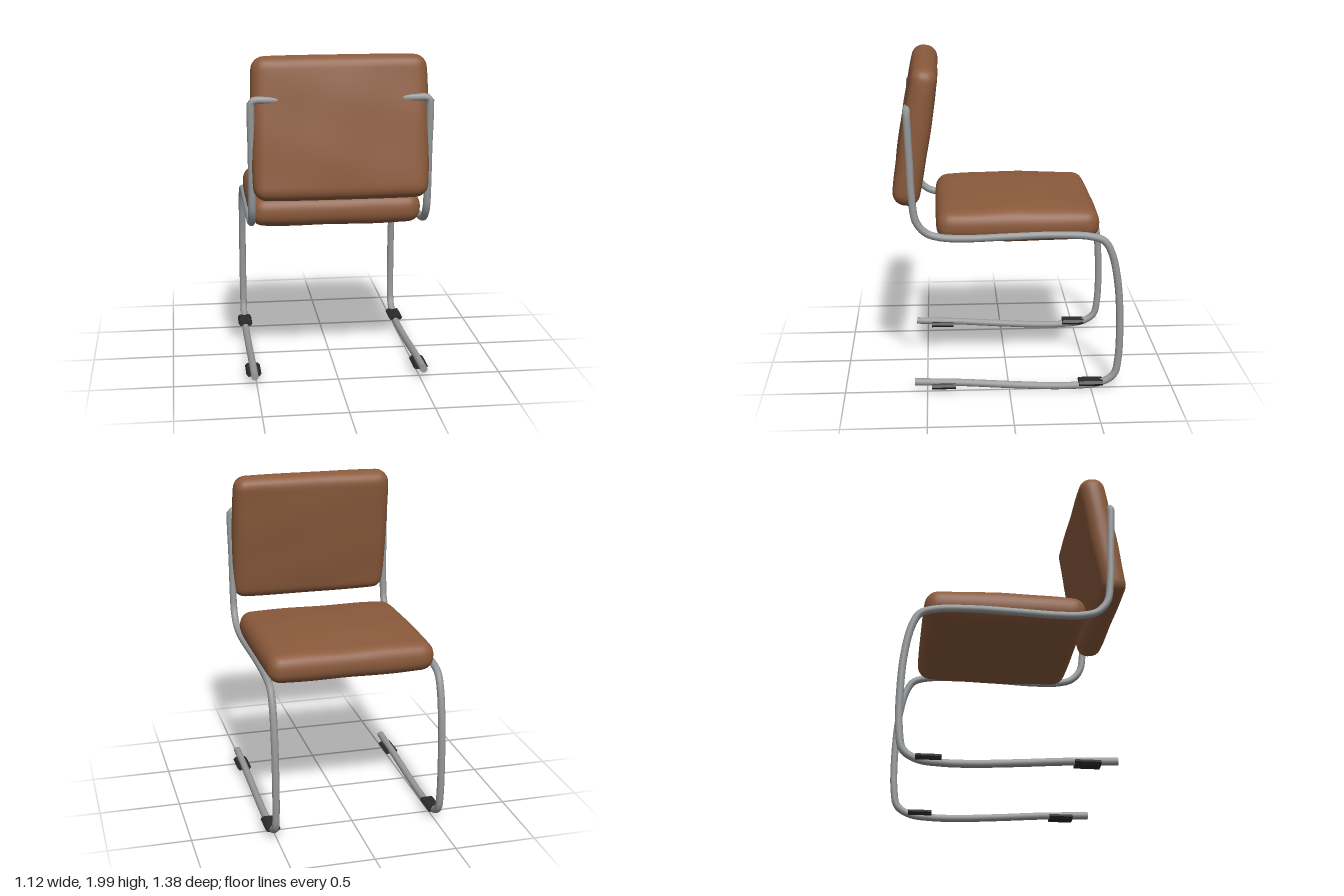
import * as THREE from 'three';
import { mergeVertices } from 'three/addons/utils/BufferGeometryUtils.js';

const leather = new THREE.MeshStandardMaterial({ name: 'brown leather', color: 0x8b5a3c });
const steel = new THREE.MeshStandardMaterial({ name: 'grey steel', color: 0x96999b });
const rubber = new THREE.MeshStandardMaterial({ name: 'black rubber', color: 0x2b2b2d });

// Lying cushion: a rounded slab whose broad faces swell and ripple a little
function cushion(w, t, d, r, swell, name) {
  let g = new THREE.BoxGeometry(w, t, d, 36, 8, 36);
  g.deleteAttribute('uv');
  g.deleteAttribute('normal');
  g = mergeVertices(g);
  const half = new THREE.Vector3(w / 2, t / 2, d / 2);
  const inner = half.clone().subScalar(r);
  const p = new THREE.Vector3(), c = new THREE.Vector3();
  const ease = (a, h) => h * (0.5 * a / h + 0.5 * Math.sin((a / h) * Math.PI / 2)); // finer grid at the edges
  const pos = g.attributes.position;
  for (let i = 0; i < pos.count; i++) {
    p.fromBufferAttribute(pos, i);
    p.set(ease(p.x, half.x), p.y, ease(p.z, half.z));
    c.copy(p).clamp(inner.clone().negate(), inner);
    p.sub(c).setLength(r).add(c);
    const u = p.x / half.x, v = p.z / half.z;
    const bulge = swell * (1 - u ** 4) * (1 - v * v);
    const ripple = 0.003 * Math.sin(9 * p.x + 5 * p.z) * Math.sin(11 * p.z - 4 * p.x);
    p.y += (p.y / half.y) * (bulge + ripple);
    // sides draw in slightly toward the corners
    p.x *= 1 - 0.025 * v ** 4;
    p.z *= 1 - 0.015 * u ** 4;
    pos.setXYZ(i, p.x, p.y, p.z);
  }
  g.computeVertexNormals();
  const m = new THREE.Mesh(g, leather);
  m.name = name;
  return m;
}

// One side of the bent tube: floor runner, curved leg, seat rail, back upright, inward arm
function frameSide(s) {
  const side = new THREE.Group();
  side.name = s > 0 ? 'leftFrame' : 'rightFrame';
  const X = 0.514;
  const path = [
    [X, 0.077, 0.575], [X, 0.066, 0.3], [X, 0.045, 0], [X, 0.031, -0.25], [X, 0.031, -0.42],
    [X, 0.048, -0.56], [X, 0.1, -0.64], [X, 0.2, -0.663], [X, 0.45, -0.668], [X, 0.7, -0.65],
    [X, 0.88, -0.61], [X, 0.955, -0.565], [X, 0.985, -0.48], [X, 0.998, -0.25], [X, 0.992, 0],
    [X, 0.984, 0.25], [X, 0.992, 0.4], [X, 1.02, 0.49], [X, 1.09, 0.55], [X, 1.22, 0.572],
    [X, 1.45, 0.582], [X + 0.003, 1.7, 0.592], [X, 1.742, 0.593], [X - 0.02, 1.753, 0.593],
    [0.43, 1.753, 0.592], [0.3, 1.75, 0.575], [0.2, 1.75, 0.55],
  ].map(([x, y, z]) => new THREE.Vector3(s * x, y, z));
  const tube = new THREE.Mesh(
    new THREE.TubeGeometry(new THREE.CatmullRomCurve3(path, false, 'centripetal'), 180, 0.0225, 14), steel);
  tube.name = 'bentTube';
  const cap = new THREE.Mesh(new THREE.CircleGeometry(0.0225, 14), steel);
  cap.position.copy(path[0]);
  cap.name = 'tubeEnd';
  side.add(tube, cap);

  // Six-sided floor pads
  const hex = new THREE.Shape([[-0.046, 0], [-0.034, -0.016], [0.034, -0.016], [0.046, 0], [0.034, 0.016], [-0.034, 0.016]]
    .map(([x, y]) => new THREE.Vector2(x, y)));
  for (const z of [0.4, -0.497]) {
    const pad = new THREE.Mesh(new THREE.ExtrudeGeometry(hex, { depth: 0.146, bevelEnabled: false }), rubber);
    pad.position.set(s * X, 0.054, z - 0.073);
    pad.name = 'floorPad';
    side.add(pad);
  }
  return side;
}

export function createModel() {
  const chair = new THREE.Group();
  chair.name = 'cantileverChair';

  const seat = cushion(1.04, 0.17, 0.98, 0.075, 0.033, 'seatCushion');
  seat.position.set(0, 1.044, -0.055);

  const back = cushion(1.03, 0.155, 0.835, 0.07, 0.014, 'backCushion');
  back.position.set(0, 1.58, 0.548);
  back.rotation.x = Math.PI / 2 - 0.165;
  back.rotation.x = Math.PI / 2 + 0.165 - 0.33 + 0.33;
  // leans so that its top is nearer the middle of the seat
  back.rotation.x = -Math.PI / 2 - 0.165;

  chair.add(seat, back, frameSide(1), frameSide(-1));
  return chair;
}
